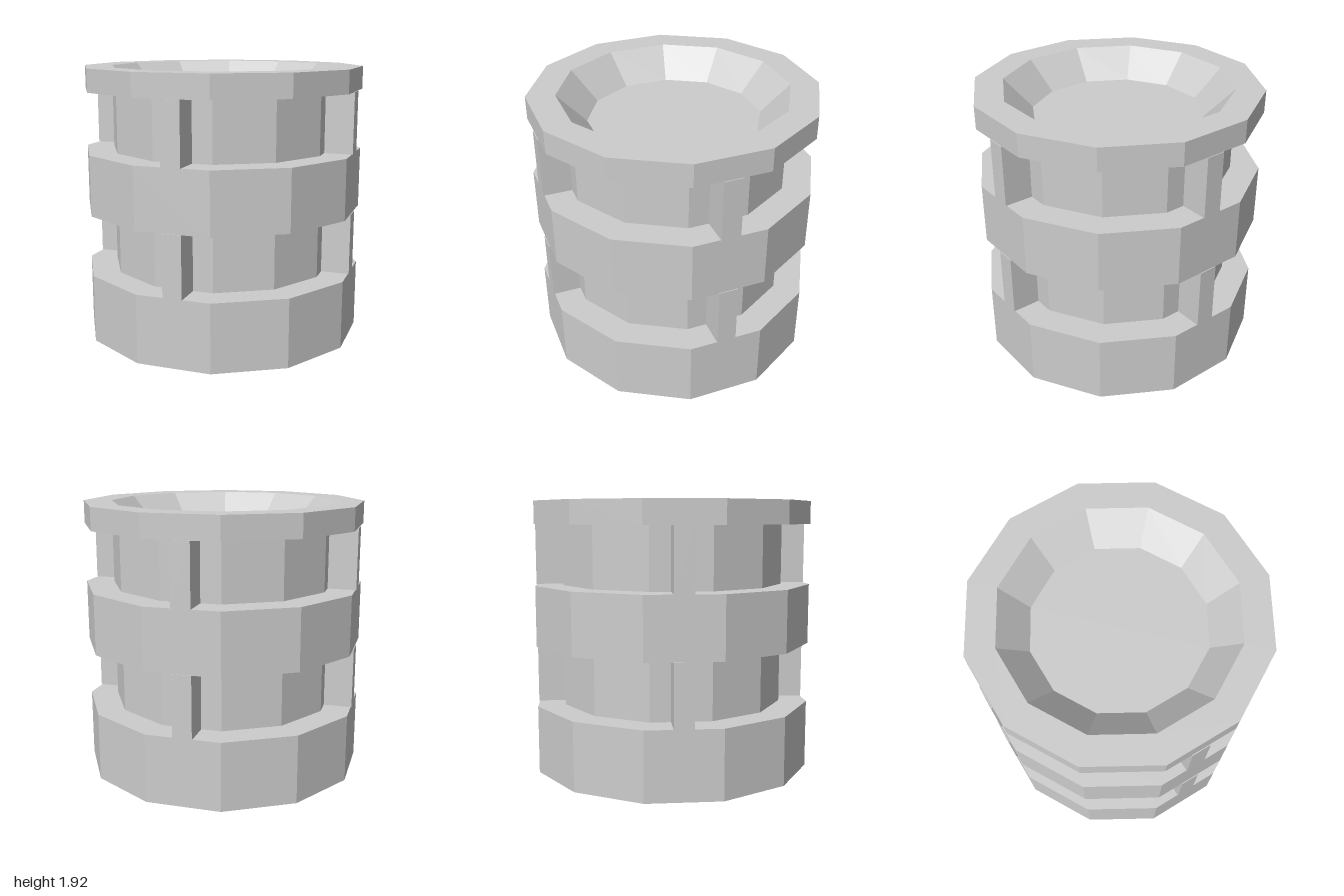
import * as THREE from 'three';

const SIDES = 12;
const OUTER = 1, CORE = 0.8, FLOOR = 0.6, RECESS = 0.2;
// Heights where the wide bands and the narrow core alternate
const Y = [0, 0.48, 0.91, 1.335, 1.76, 1.92];

export function createModel() {
  const model = new THREE.Group();
  model.name = 'bandedDrum';
  const grey = new THREE.MeshStandardMaterial({ color: 0xcccccc, flatShading: true });
  grey.name = 'lightGrey';

  // Faceted ring of surface from a profile of [radius, height], listed bottom to top
  const turned = (name, profile) => {
    const points = profile.map(([r, y]) => new THREE.Vector2(r, y));
    const geometry = new THREE.LatheGeometry(points, SIDES).toNonIndexed();
    geometry.computeVertexNormals();
    const mesh = new THREE.Mesh(geometry, grey);
    mesh.name = name;
    model.add(mesh);
  };

  // Base band with the sloped recess underneath
  turned('base', [[0, RECESS], [FLOOR, RECESS], [CORE, 0], [OUTER, 0], [OUTER, Y[1]], [CORE, Y[1]]]);
  turned('lowerCore', [[CORE, Y[1]], [CORE, Y[2]]]);
  turned('middleBand', [[CORE, Y[2]], [OUTER, Y[2]], [OUTER, Y[3]], [CORE, Y[3]]]);
  turned('upperCore', [[CORE, Y[3]], [CORE, Y[4]]]);
  // Top rim with the sloped bowl
  turned('topRim', [[CORE, Y[4]], [OUTER, Y[4]], [OUTER, Y[5]], [CORE, Y[5]],
    [FLOOR, Y[5] - RECESS], [0, Y[5] - RECESS]]);

  // Four diagonal struts bridging each gap
  const inner = 0.74, outer = 0.972, width = 0.134;
  for (const [name, low, high] of [['lowerStrut', Y[1], Y[2]], ['upperStrut', Y[3], Y[4]]]) {
    const geometry = new THREE.BoxGeometry(width, high - low, outer - inner);
    geometry.translate(0, (low + high) / 2, (inner + outer) / 2);
    for (let i = 0; i < 4; i++) {
      const strut = new THREE.Mesh(geometry, grey);
      strut.name = name + (i + 1);
      strut.rotation.y = Math.PI / 4 + i * Math.PI / 2;
      model.add(strut);
    }
  }
  return model;
}
